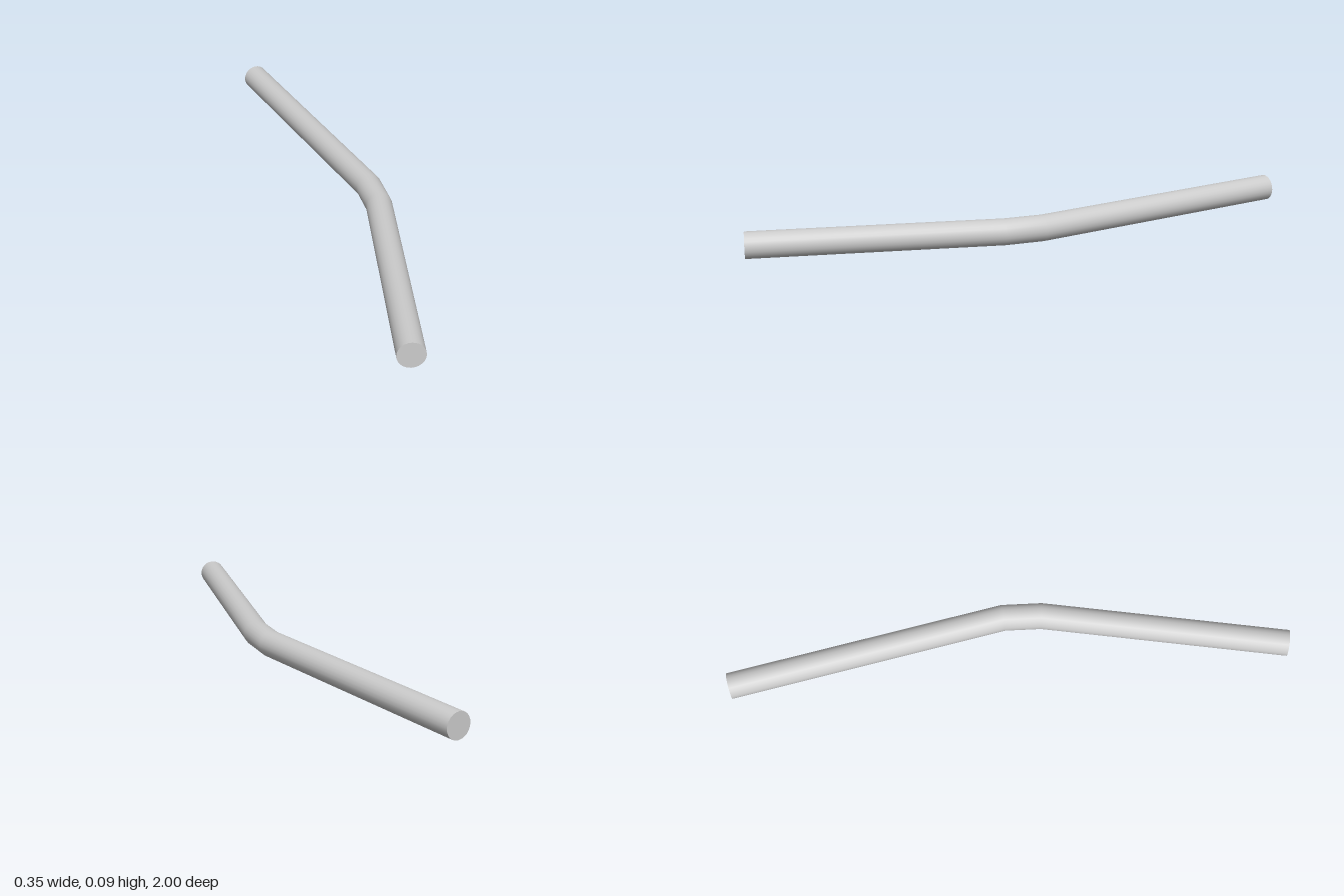
import * as THREE from 'three';

const RADIUS = 0.0467, SIDES = 24;
// centre line of the rod in plan (x, z), from back to front
const PATH = [[0.034, -0.996], [0.129, 0], [0.113, 0.137], [-0.134, 0.987]]
  .map(([x, z]) => new THREE.Vector2(x, z));

// sideways direction of the cross-section at path point i, mitred at bends
function sideways(i) {
  const dir = (a, b) => PATH[b].clone().sub(PATH[a]).normalize();
  const last = PATH.length - 1;
  const before = dir(Math.max(i - 1, 0), Math.max(i, 1));
  const after = dir(Math.min(i, last - 1), Math.min(i + 1, last));
  const t = before.clone().add(after).normalize();
  return { side: new THREE.Vector2(t.y, -t.x), stretch: 1 / t.dot(before) };
}

// rings swept along the path, joined by quads
function sweptTube() {
  const pos = [], nor = [], idx = [];
  PATH.forEach((p, i) => {
    const { side, stretch } = sideways(i);
    for (let j = 0; j <= SIDES; j++) {
      const a = (j / SIDES) * Math.PI * 2, c = Math.cos(a), s = Math.sin(a);
      const w = c * RADIUS * stretch;
      pos.push(p.x + side.x * w, RADIUS + s * RADIUS, p.y + side.y * w);
      nor.push(side.x * c, s, side.y * c);
      if (i > 0 && j < SIDES) {
        const b = i * (SIDES + 1) + j, d = b - SIDES - 1;
        idx.push(d, d + 1, b, d + 1, b + 1, b);
      }
    }
  });
  const g = new THREE.BufferGeometry();
  g.setAttribute('position', new THREE.Float32BufferAttribute(pos, 3));
  g.setAttribute('normal', new THREE.Float32BufferAttribute(nor, 3));
  g.setIndex(idx);
  return g;
}

export function createModel() {
  const group = new THREE.Group();
  group.name = 'bentRod';
  const material = new THREE.MeshStandardMaterial({ color: 0xcccccc, side: THREE.DoubleSide });

  const rod = new THREE.Mesh(sweptTube(), material);
  rod.name = 'rod';
  group.add(rod);

  // flat end caps facing outwards along the path
  const n = PATH.length - 1;
  for (const [name, end, inner] of [['backCap', 0, 1], ['frontCap', n, n - 1]]) {
    const cap = new THREE.Mesh(new THREE.CircleGeometry(RADIUS, SIDES), material);
    const out = PATH[end].clone().sub(PATH[inner]);
    cap.name = name;
    cap.position.set(PATH[end].x, RADIUS, PATH[end].y);
    cap.rotation.y = Math.atan2(out.x, out.y);
    group.add(cap);
  }
  return group;
}
